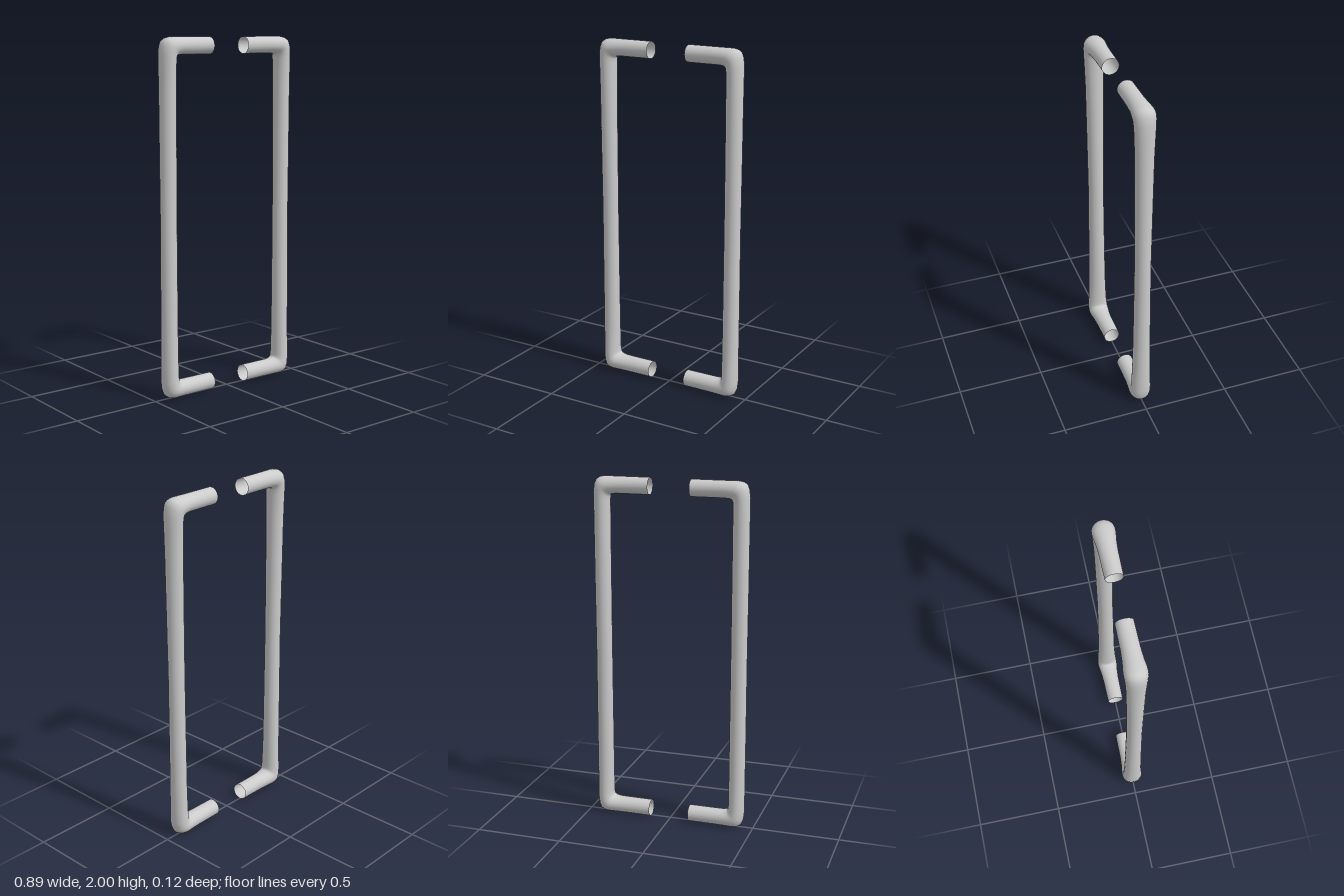
import * as THREE from 'three';

// Stations from the open end, round the bend, to the middle of the grip:
// outer x, outer y, inner x, inner y, half depth in z
const STATIONS = [
  [0.118, 2.0, 0.118, 1.905, 0.048],
  [0.27, 2.0, 0.262, 1.905, 0.05],
  [0.33, 2.0, 0.312, 1.905, 0.054],
  [0.385, 2.0, 0.338, 1.902, 0.06],
  [0.412, 1.994, 0.347, 1.898, 0.061],
  [0.43, 1.982, 0.351, 1.893, 0.061],
  [0.441, 1.955, 0.353, 1.885, 0.06],
  [0.447, 1.91, 0.354, 1.865, 0.058],
  [0.447, 1.83, 0.354, 1.81, 0.055],
  [0.447, 1.7, 0.354, 1.7, 0.051],
  [0.447, 1.4, 0.354, 1.4, 0.048],
  [0.446, 1.0, 0.354, 1.0, 0.045],
];
const SIDES = 32;

// Skin the elliptical rings into one open-ended bent tube
function handleGeometry() {
  const lower = STATIONS.slice(0, -1).reverse()
    .map(([ox, oy, ix, iy, d]) => [ox, 2 - oy, ix, 2 - iy, d]);
  const rings = [...STATIONS, ...lower];
  const position = [];
  const index = [];
  rings.forEach(([ox, oy, ix, iy, depth], r) => {
    for (let s = 0; s < SIDES; s++) {
      const a = (s / SIDES) * Math.PI * 2;
      const t = (1 + Math.cos(a)) / 2;
      position.push(ix + (ox - ix) * t, iy + (oy - iy) * t, depth * Math.sin(a));
      if (r === 0) continue;
      const n = (s + 1) % SIDES;
      const p = (r - 1) * SIDES;
      const q = r * SIDES;
      index.push(p + s, p + n, q + s, p + n, q + n, q + s);
    }
  });
  const geometry = new THREE.BufferGeometry();
  geometry.setAttribute('position', new THREE.Float32BufferAttribute(position, 3));
  // Ring order runs clockwise about the path, so reverse the corners
  geometry.setIndex(index.reverse());
  // Make sure faces point outward at the open end's outer edge
  geometry.computeVertexNormals();
  if (geometry.attributes.normal.getY(0) < 0) {
    geometry.setIndex(index.reverse());
    geometry.computeVertexNormals();
  }
  return geometry;
}

export function createModel() {
  const model = new THREE.Group();
  model.name = 'pullHandlePair';
  const material = new THREE.MeshStandardMaterial({ color: 0xcccccc, side: THREE.DoubleSide });
  const geometry = handleGeometry();

  // Two matching handles, back to back with open ends facing each other
  ['leftHandle', 'rightHandle'].forEach((name, i) => {
    const handle = new THREE.Mesh(geometry, material);
    handle.name = name;
    handle.rotation.y = i * Math.PI;
    model.add(handle);
  });
  return model;
}
